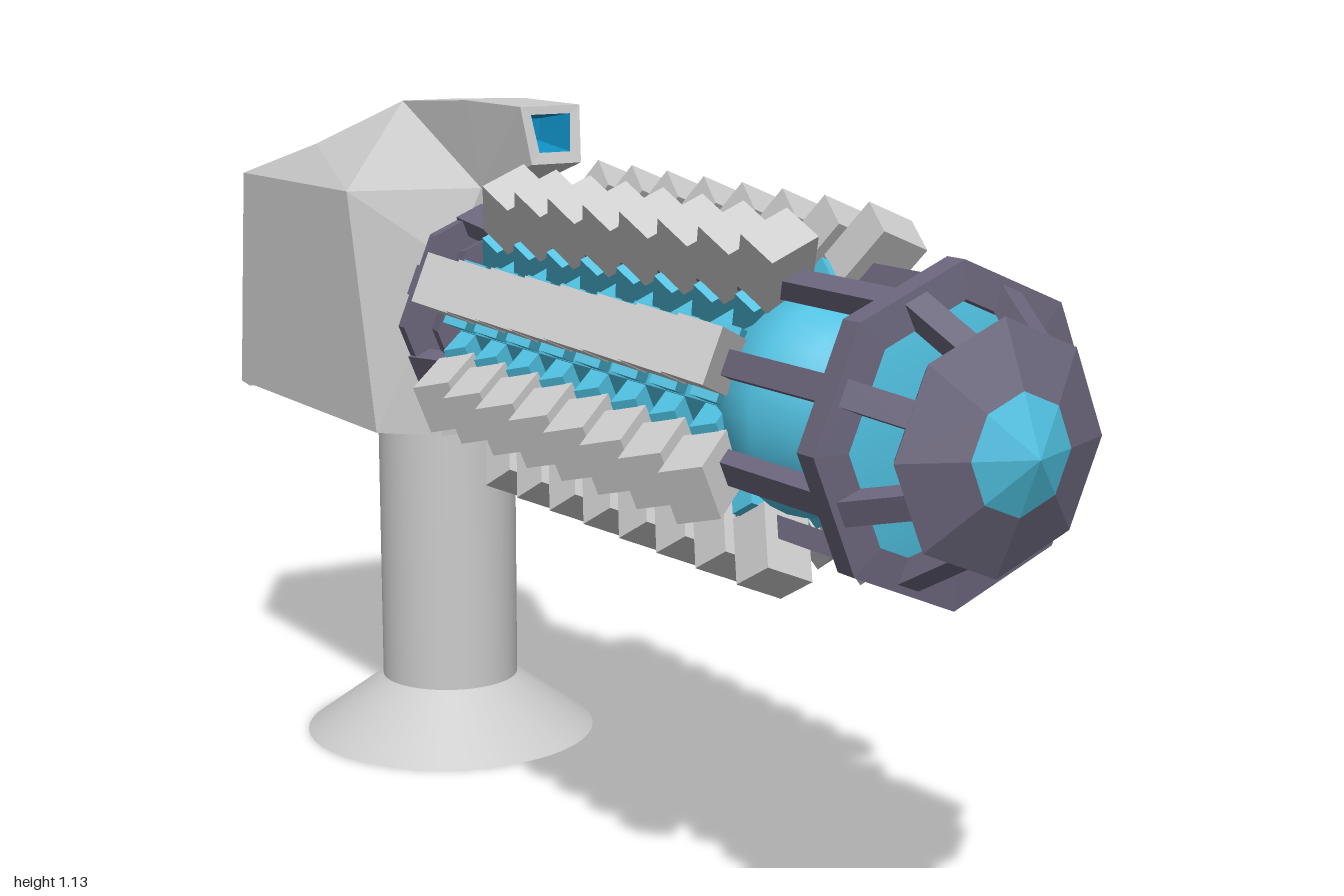
import * as THREE from 'three';

const AXIS_Y = 0.775;
const mat = (color, flatShading = true) =>
  new THREE.MeshStandardMaterial({ color, flatShading, side: THREE.DoubleSide });
const grey = mat(0xcccccc), greySmooth = mat(0xcccccc, false);
const purple = mat(0x6b667c), blue = mat(0x4fbfdf), blueSmooth = mat(0x4fbfdf, false);
const deepBlue = mat(0x0f8fc4), gold = mat(0x7d600c, false);

function add(parent, name, geometry, material) {
  const mesh = new THREE.Mesh(geometry, material);
  mesh.name = name;
  parent.add(mesh);
  return mesh;
}

// Flat polygons given as corner lists, fanned into triangles
function facets(polys) {
  const pos = [];
  for (const p of polys)
    for (let i = 1; i < p.length - 1; i++) pos.push(...p[0], ...p[i], ...p[i + 1]);
  const g = new THREE.BufferGeometry();
  g.setAttribute('position', new THREE.Float32BufferAttribute(pos, 3));
  g.computeVertexNormals();
  return g;
}
const flip = ([x, y, z]) => [-x, y, z];
const strip = (p, q) => [flip(p), flip(q), q, p];

// Turned part along the barrel axis; profile is [radius, z] from back to front
function turned(parent, name, profile, sides, material) {
  const g = new THREE.LatheGeometry(profile.map(([r, z]) => new THREE.Vector2(r, z)), sides);
  g.rotateX(Math.PI / 2);
  return add(parent, name, g, material);
}

// Square bar between two [radius, z] points in a spoke's plane
function bar(parent, name, [r0, z0], [r1, z1], width, material) {
  const len = Math.hypot(r1 - r0, z1 - z0);
  const m = add(parent, name, new THREE.BoxGeometry(width, len, 0.03), material);
  m.position.set(0, (r0 + r1) / 2, (z0 + z1) / 2);
  m.rotation.x = Math.atan2(z1 - z0, r1 - r0);
}

function buildStand(root) {
  const profile = [[0, 0], [0.256, 0], [0.256, 0.003], [0.12, 0.1], [0.12, 0.6]];
  // doubled rim points keep the edges sharp
  const foot = add(root, 'standFoot', new THREE.CylinderGeometry(0.12, 0.256, 0.1, 48), greySmooth);
  foot.position.set(0, 0.05, -0.56);
  const h = profile[4][1] - profile[3][1];
  const post = add(root, 'standPost', new THREE.CylinderGeometry(0.12, 0.12, h, 48), greySmooth);
  post.position.set(0, 0.1 + h / 2, -0.56);
}

function buildHousing(root) {
  const housing = new THREE.Group();
  housing.name = 'housing';
  root.add(housing);
  // Left-hand corners of the shell, mirrored for the other side
  const K = [0.2, 0.58, -1], T = [0.2, 0.97, -0.96], A = [0.145, 1.035, -0.76];
  const B = [0.05, 1.115, -0.61], M = [0.054, 1.13, -0.37], C = [0.054, 1.13, -0.19];
  const D = [0.045, 1.04, -0.17], E = [0.05, 0.99, -0.33], F = [0.2, 0.975, -0.525];
  const G = [0.2, 0.58, -0.43], H = [0.12, 0.58, -0.35], I = [0.1, 0.87, -0.34];
  const sides = [[K, T, F, G], [T, A, F], [A, B, F], [B, M, C, D, E], [B, E, F],
    [F, E, I], [F, I, G], [I, H, G]];
  const chain = [[T, A], [A, B], [B, M], [M, C], [D, E], [E, I], [I, H], [H, G], [G, K]];
  // Rim of the nozzle opening
  const c = [0.036, 1.117, -0.188], d = [0.028, 1.058, -0.175];
  sides.push([C, c, d, D]);
  chain.push([C, c], [d, D]);
  add(housing, 'housingShell', facets([
    ...sides, ...sides.map(p => p.map(flip).reverse()), ...chain.map(([p, q]) => strip(p, q)),
  ]), grey);

  // Tapered recess inside the nozzle
  const e = [0.022, 1.105, -0.26], f = [0.018, 1.07, -0.26];
  add(housing, 'nozzleRecess', facets([
    strip(c, e), strip(e, f), strip(f, d), [c, e, f, d], [c, e, f, d].map(flip).reverse(),
  ]), deepBlue);

  // Sloping back panel with two tapered slots
  const back = new THREE.Group();
  back.name = 'backPanel';
  back.position.set(0, 0.58, -1);
  back.rotation.x = 0.102;
  housing.add(back);
  const s = new THREE.Shape();
  s.moveTo(-0.2, 0).lineTo(0.2, 0).lineTo(0.2, 0.392).lineTo(-0.2, 0.392).closePath();
  for (const x of [-0.1, 0.1]) {
    const hole = new THREE.Path();
    hole.moveTo(x - 0.035, 0.035).lineTo(x - 0.063, 0.36).lineTo(x + 0.063, 0.36)
      .lineTo(x + 0.035, 0.035).closePath();
    s.holes.push(hole);
    // Rounded vent filling each slot
    const vent = add(back, 'backVent', new THREE.CylinderGeometry(0.06, 0.03, 0.31, 24), gold);
    vent.position.set(x, 0.2, 0.02);
    vent.rotation.x = -0.05;
    vent.scale.z = 0.65;
  }
  add(back, 'backFrame', new THREE.ExtrudeGeometry(s, { depth: 0.04, bevelEnabled: false }), grey);
  const backing = add(back, 'ventBacking', new THREE.BoxGeometry(0.38, 0.37, 0.005), gold);
  backing.position.set(0, 0.195, 0.042);
}

function buildBarrel(root) {
  const barrel = new THREE.Group();
  barrel.name = 'barrel';
  barrel.position.y = AXIS_Y;
  root.add(barrel);

  // Glowing core, and the dome behind the front ring
  turned(barrel, 'core', [[0, -0.32], [0.14, -0.32], [0.14, 0.54]], 8, blue);
  turned(barrel, 'coreNose',
    [[0.14, 0.5], [0.162, 0.56], [0.155, 0.6], [0.125, 0.65], [0.09, 0.68], [0.055, 0.7], [0.05, 0.71], [0, 0.71]],
    32, blueSmooth);
  turned(barrel, 'frontDome',
    [[0, 0.73], [0.06, 0.738], [0.11, 0.76], [0.15, 0.79], [0.182, 0.825], [0, 0.825]], 32, blueSmooth);

  // Eight-sided rings and nose
  turned(barrel, 'frontRing',
    [[0.178, 0.81], [0.228, 0.81], [0.228, 0.845], [0.178, 0.85], [0.178, 0.81]], 8, purple);
  turned(barrel, 'nosePlate',
    [[0, 0.905], [0.15, 0.905], [0.167, 0.925], [0.08, 0.965]], 8, purple);
  turned(barrel, 'noseTip', [[0.08, 0.965], [0, 1]], 8, blue);
  turned(barrel, 'rearCollar',
    [[0.15, -0.31], [0.205, -0.31], [0.205, -0.33], [0.15, -0.36], [0, -0.36]], 8, purple);
  turned(barrel, 'rearRing',
    [[0.14, -0.28], [0.17, -0.28], [0.18, -0.24], [0.14, -0.24], [0.14, -0.28]], 8, purple);

  // Eight spokes, each with a rail, struts and a row of leaning blocks
  const block = new THREE.BoxGeometry(0.08, 0.1, 0.065);
  const fin = new THREE.BoxGeometry(0.105, 0.12, 0.04);
  for (let k = 0; k < 8; k++) {
    const spoke = new THREE.Group();
    spoke.name = 'spoke';
    spoke.rotation.z = (k + 0.5) * Math.PI / 4;
    barrel.add(spoke);
    bar(spoke, 'rail', [0.182, -0.24], [0.182, 0.82], 0.036, purple);
    bar(spoke, 'noseStrut', [0.19, 0.835], [0.14, 0.915], 0.036, purple);
    bar(spoke, 'rearStrut', [0.165, -0.23], [0.18, -0.33], 0.05, purple);
    for (let i = 0; i < 8; i++) {
      const z = 0.555 - i * 0.1016;
      const b = add(spoke, 'block', block, grey);
      b.position.set(0, 0.215, z);
      b.rotation.x = 0.6;
      const f = add(spoke, 'coreFin', fin, blue);
      f.position.set(0, 0.125, z - 0.06);
      f.rotation.x = 0.6;
    }
  }
}

export function createModel() {
  const root = new THREE.Group();
  root.name = 'mountedBlaster';
  buildStand(root);
  buildHousing(root);
  buildBarrel(root);
  return root;
}
